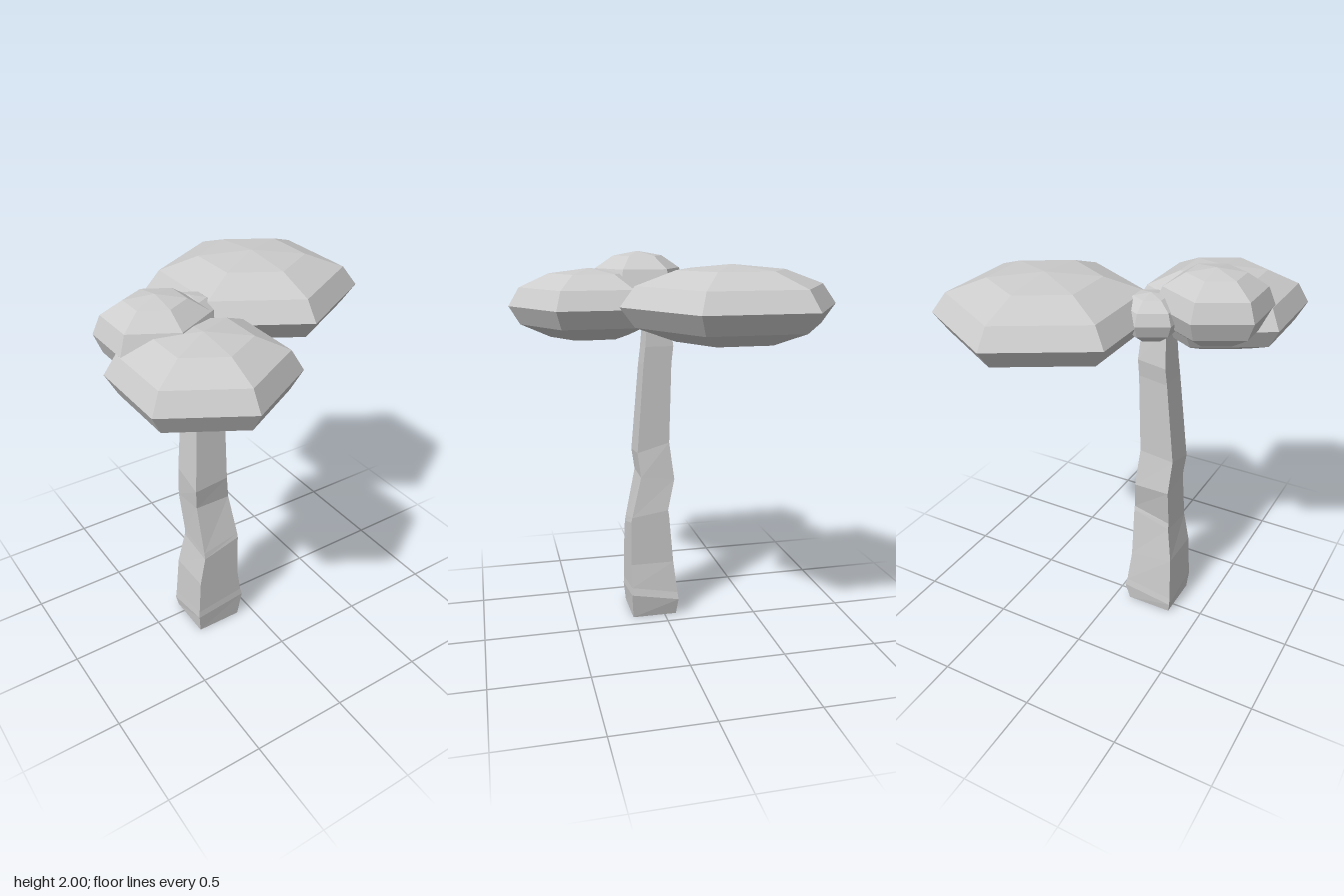
import * as THREE from 'three';

// Four-sided prism skinned over slightly tilted rectangular rings.
// Ring: [y, xMin, xMax, zMin, zMax, rise towards +x, rise towards +z]
function trunkGeometry(rings) {
  const loops = rings.map(([y, x0, x1, z0, z1, tx, tz]) =>
    [[0, 1], [1, 1], [1, 0], [0, 0]].map(([u, v]) => [
      u ? x1 : x0,
      y + tx * (u - 0.5) + tz * (v - 0.5),
      v ? z1 : z0,
    ]));
  const pos = [];
  const quad = (a, b, c, d) => pos.push(...a, ...b, ...c, ...a, ...c, ...d);
  for (let i = 0; i < loops.length - 1; i++) {
    const lo = loops[i], hi = loops[i + 1];
    for (let k = 0; k < 4; k++) {
      const n = (k + 1) % 4;
      quad(lo[k], lo[n], hi[n], hi[k]);
    }
  }
  // end caps
  const b = loops[0], t = loops[loops.length - 1];
  quad(b[3], b[2], b[1], b[0]);
  quad(t[0], t[1], t[2], t[3]);
  const geo = new THREE.BufferGeometry();
  geo.setAttribute('position', new THREE.Float32BufferAttribute(pos, 3));
  geo.computeVertexNormals();
  return geo;
}

export function createModel() {
  const model = new THREE.Group();
  model.name = 'tree';
  const grey = new THREE.MeshStandardMaterial({ color: 0xcccccc, flatShading: true });
  grey.name = 'light grey';

  // Crooked trunk
  const trunk = new THREE.Mesh(trunkGeometry([
    [0.00, -0.33, -0.085, -0.065, 0.18, 0, 0],
    [0.10, -0.34, -0.06, -0.075, 0.19, 0.04, 0.05],
    [0.14, -0.337, -0.07, -0.07, 0.187, 0.04, 0.05],
    [0.33, -0.325, -0.088, -0.05, 0.187, -0.03, 0],
    [0.55, -0.293, -0.087, -0.025, 0.186, 0.06, -0.03],
    [0.58, -0.293, -0.087, -0.02, 0.18, 0.05, -0.03],
    [0.80, -0.30, -0.108, -0.06, 0.125, 0, 0.02],
    [0.96, -0.31, -0.125, -0.035, 0.14, 0.02, -0.05],
    [1.42, -0.27, -0.117, -0.045, 0.105, 0.02, 0],
    [1.51, -0.263, -0.115, -0.055, 0.095, 0.02, 0],
    [1.70, -0.25, -0.125, -0.03, 0.08, 0, 0],
  ]), grey);
  trunk.name = 'trunk';
  model.add(trunk);

  // Flattened hexagonal foliage clumps: centre, then radii
  const hexBall = new THREE.SphereGeometry(1, 6, 6).rotateY(Math.PI / 2);
  const clumps = [
    ['largeFoliage', [0.275, 1.763, -0.245], [0.538, 0.193, 0.54]],
    ['frontFoliage', [-0.372, 1.722, 0.348], [0.43, 0.193, 0.43]],
    ['topFoliage', [-0.446, 1.82, 0.07], [0.285, 0.18, 0.27]],
    ['smallFoliage', [-0.19, 1.77, -0.077], [0.165, 0.115, 0.16]],
  ];
  for (const [name, centre, radii] of clumps) {
    const clump = new THREE.Mesh(hexBall, grey);
    clump.name = name;
    clump.position.set(...centre);
    clump.scale.set(...radii);
    model.add(clump);
  }
  return model;
}
